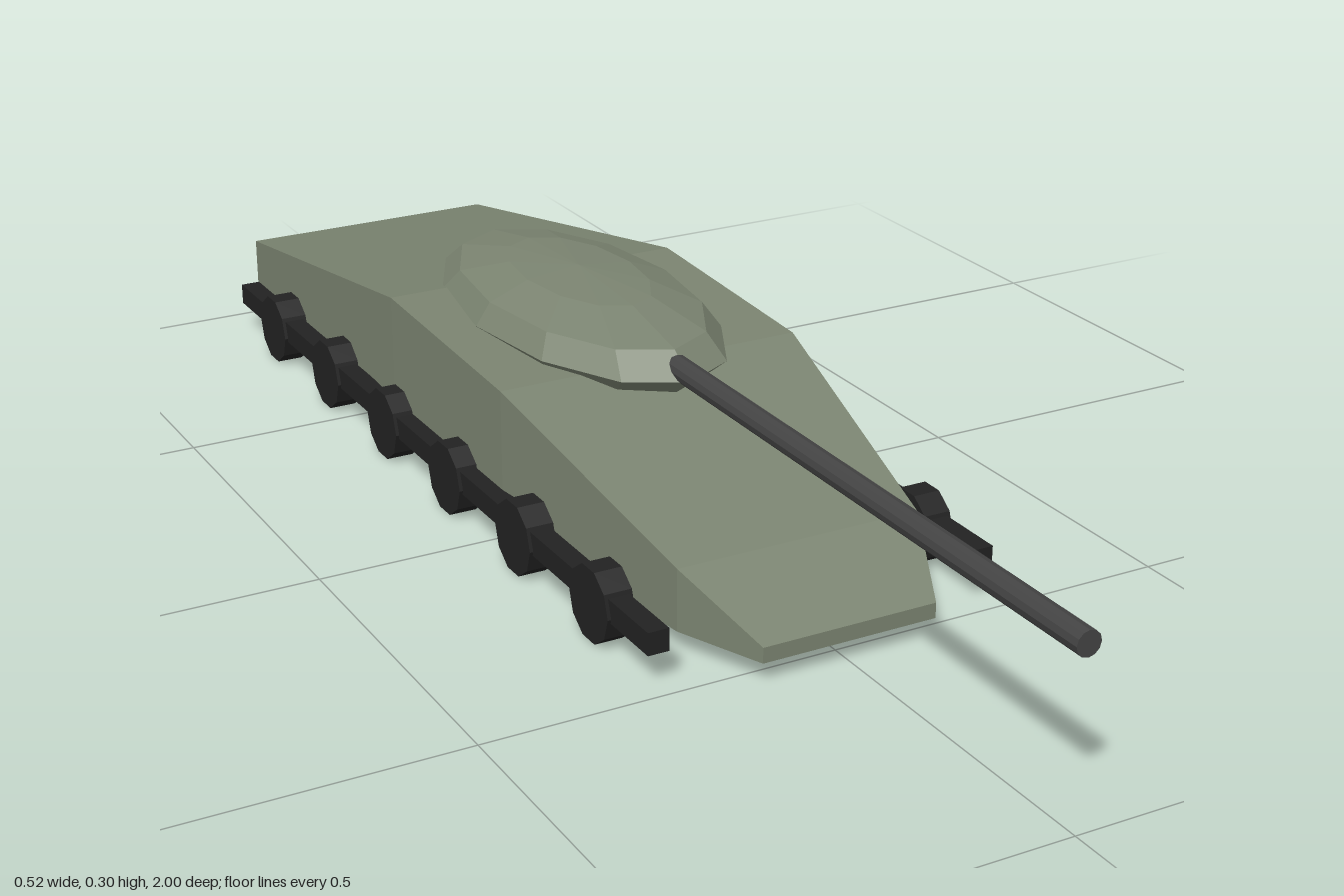
import * as THREE from 'three';

const mat = (color) => new THREE.MeshStandardMaterial({ color, flatShading: true });

function addMesh(parent, name, geometry, material, x = 0, y = 0, z = 0) {
  const mesh = new THREE.Mesh(geometry, material);
  mesh.name = name;
  mesh.position.set(x, y, z);
  parent.add(mesh);
  return mesh;
}

// Skin rectangular sections [z, halfWidth, bottom, top], listed front to back
function loftBoxes(sections) {
  const positions = [];
  const index = [];
  for (const [z, w, bottom, top] of sections) {
    positions.push(-w, bottom, z, w, bottom, z, w, top, z, -w, top, z);
  }
  for (let s = 0; s < sections.length - 1; s++) {
    for (let i = 0; i < 4; i++) {
      const a = s * 4 + i, b = s * 4 + (i + 1) % 4;
      index.push(a, a + 4, b, b, a + 4, b + 4);
    }
  }
  const e = (sections.length - 1) * 4;
  index.push(0, 1, 2, 0, 2, 3, e, e + 2, e + 1, e, e + 3, e + 2);
  const geometry = new THREE.BufferGeometry();
  geometry.setAttribute('position', new THREE.Float32BufferAttribute(positions, 3));
  geometry.setIndex(index);
  const flat = geometry.toNonIndexed();
  flat.computeVertexNormals();
  return flat;
}

export function createModel() {
  const model = new THREE.Group();
  model.name = 'tank';
  const green = mat(0x7b8471);
  const steel = mat(0x444444);
  const black = mat(0x222222);

  // Wedge-shaped hull
  addMesh(model, 'hull', loftBoxes([
    [0.535, 0.128, 0.03, 0.052],
    [0.41, 0.18, 0.03, 0.118],
    [0.01, 0.231, 0.03, 0.223],
    [-0.36, 0.231, 0.03, 0.237],
    [-1, 0.205, 0.045, 0.125],
  ]), green);

  // Flattened faceted turret
  const dome = new THREE.SphereGeometry(1, 12, 6);
  dome.scale(0.165, 0.065, 0.33);
  addMesh(model, 'turret', dome, green, 0, 0.232, -0.207);

  // Long gun barrel
  const barrel = new THREE.CylinderGeometry(0.017, 0.017, 1, 12);
  barrel.rotateX(Math.PI / 2);
  addMesh(model, 'gunBarrel', barrel, steel, 0, 0.242, 0.5);

  // Tracks and road wheels, mirrored
  const track = new THREE.BoxGeometry(0.03, 0.032, 1.41);
  const wheel = new THREE.CylinderGeometry(0.0535, 0.0535, 0.04, 10);
  wheel.rotateZ(Math.PI / 2);
  for (const side of [1, -1]) {
    const gear = new THREE.Group();
    gear.name = side > 0 ? 'leftRunningGear' : 'rightRunningGear';
    addMesh(gear, 'track', track, black, side * 0.242, 0.061, -0.23);
    for (let i = 0; i < 6; i++) {
      addMesh(gear, 'roadWheel', wheel, black, side * 0.242, 0.051, 0.325 - i * 0.2215);
    }
    model.add(gear);
  }
  return model;
}
